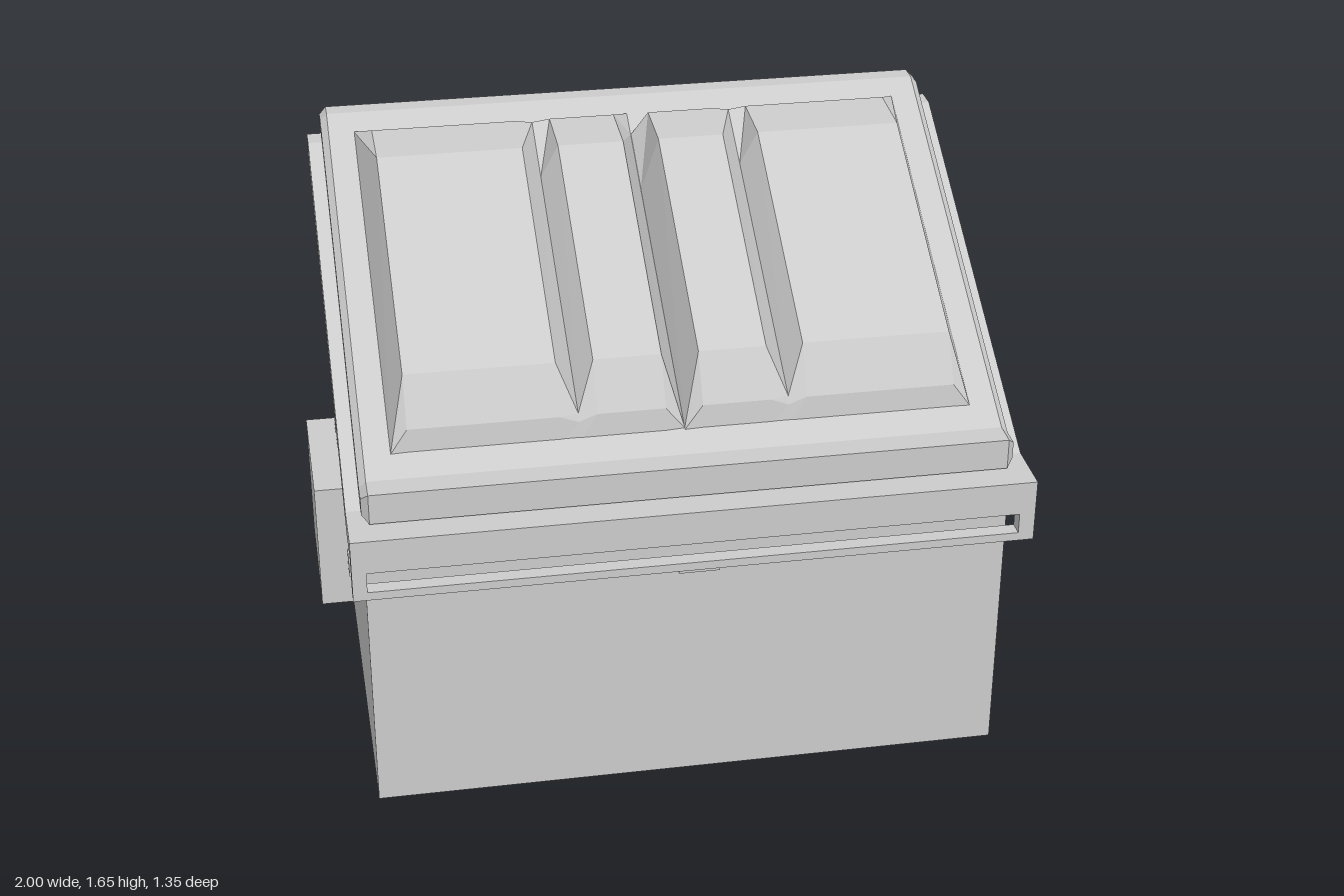
import * as THREE from 'three';

const MID = 0.02; // centre of the container across x
const material = new THREE.MeshStandardMaterial({ color: 0xcccccc, flatShading: true });

function add(parent, name, geometry) {
  const mesh = new THREE.Mesh(geometry, material);
  mesh.name = name;
  parent.add(mesh);
  return mesh;
}

// Extrudes a side profile of [z, y] points across x, with optional chamfer
function across(points, x0, x1, bevel = 0) {
  const shape = new THREE.Shape(points.map(([z, y]) => new THREE.Vector2(z, y)));
  const depth = x1 - x0 - 2 * bevel;
  const geometry = new THREE.ExtrudeGeometry(shape, {
    depth, bevelEnabled: bevel > 0, bevelSize: bevel, bevelThickness: bevel, bevelSegments: 1,
  });
  geometry.translate(0, 0, -depth / 2);
  geometry.rotateY(-Math.PI / 2);
  return geometry.translate((x0 + x1) / 2, 0, 0);
}

// Skins rows of [x, y, z] points with flat faces
function skin(rows) {
  const positions = [];
  const tri = new THREE.Triangle();
  const face = (...corners) => {
    [tri.a, tri.b, tri.c].forEach((v, i) => v.fromArray(corners[i]));
    if (tri.getArea() > 1e-8) positions.push(...corners.flat());
  };
  for (let i = 0; i < rows.length - 1; i++) {
    for (let j = 0; j < rows[i].length - 1; j++) {
      const a = rows[i][j], b = rows[i + 1][j], c = rows[i + 1][j + 1], d = rows[i][j + 1];
      face(a, b, c);
      face(a, c, d);
    }
  }
  const geometry = new THREE.BufferGeometry();
  geometry.setAttribute('position', new THREE.Float32BufferAttribute(positions, 3));
  geometry.computeVertexNormals();
  return geometry;
}

// Chamfered plate on the +x wall; steps are [x, inset]
function sidePlate(z0, z1, y0, y1, steps) {
  const rows = steps.map(([x, s]) => [
    [x, y0 + s, z1 - s], [x, y1 - s, z1 - s], [x, y1 - s, z0 + s], [x, y0 + s, z0 + s], [x, y0 + s, z1 - s],
  ]);
  const x = steps[steps.length - 1][0];
  rows.push(Array.from({ length: 5 }, () => [x, (y0 + y1) / 2, (z0 + z1) / 2]));
  return skin(rows);
}

function box(x0, x1, y0, y1, z0, z1) {
  return new THREE.BoxGeometry(x1 - x0, y1 - y0, z1 - z0)
    .translate((x0 + x1) / 2, (y0 + y1) / 2, (z0 + z1) / 2);
}

export function createModel() {
  const model = new THREE.Group();
  model.name = 'wasteContainer';

  // Container with sloped top
  add(model, 'body', across(
    [[0.56, 0], [0.56, 0.88], [0.51, 0.88], [-0.635, 1.5], [-0.635, 0]], -0.89, 0.93));

  // Overhanging rim
  add(model, 'rim', across(
    [[0.675, 0.94], [0.51, 0.94], [-0.6, 1.56], [-0.67, 1.56], [-0.67, 1.49], [0.51, 0.865], [0.675, 0.865]],
    -0.93, 0.975));

  // Slotted front lip
  const lip = new THREE.Shape();
  lip.moveTo(-0.93, 0.755).lineTo(0.975, 0.755).lineTo(0.975, 0.866).lineTo(-0.93, 0.866).closePath();
  const slot = new THREE.Path();
  slot.moveTo(-0.89, 0.78).lineTo(-0.89, 0.84).lineTo(0.93, 0.84).lineTo(0.93, 0.78).closePath();
  lip.holes.push(slot);
  add(model, 'frontLip', new THREE.ExtrudeGeometry(lip, { depth: 0.045, bevelEnabled: false })
    .translate(0, 0, 0.63));
  add(model, 'lipTab', box(-0.035, 0.08, 0.745, 0.756, 0.63, 0.67));

  // Chamfered lid slab
  add(model, 'lid', across(
    [[0.575, 0.965], [0.575, 1.015], [0.515, 1.015], [-0.597, 1.632], [-0.642, 1.632],
      [-0.655, 1.62], [-0.655, 1.588], [-0.61, 1.588], [0.505, 0.965]],
    -0.89, 0.93, 0.02));

  // Raised lid panel with three V grooves; profiles are [z, y] from front to back
  const full = [[0.45, 1.06], [0.44, 1.14], [0.365, 1.27], [-0.28, 1.635], [-0.46, 1.645], [-0.53, 1.6]];
  const shallow = [[0.45, 1.06], [0.44, 1.12], [0.43, 1.142], [-0.28, 1.54], [-0.46, 1.638], [-0.53, 1.6]];
  const onLid = (z) => [z, 1.035 + (0.52 - z) * 0.554];
  const deep = [0.45, 0.445, 0.44, -0.28, -0.46, -0.53].map(onLid);
  const edge = [0.45, 0.449, 0.448, -0.528, -0.529, -0.53].map(onLid);
  const stations = [[-0.815, edge], [-0.767, full]];
  for (const [x, groove] of [[-0.295, shallow], [0, deep], [0.295, shallow]]) {
    stations.push([x - 0.052, full], [x, groove], [x + 0.052, full]);
  }
  stations.push([0.767, full], [0.815, edge]);
  add(model, 'lidPanel', skin(stations.map(([x, profile]) => profile.map(([z, y]) => [x + MID, y, z]))));

  // Plates on the left wall
  add(model, 'largeSidePlate', sidePlate(-0.455, 0.38, 0.19, 0.71, [[0.93, 0], [0.975, 0.02], [1, 0.07]]));
  const thin = [[0.93, 0], [0.952, 0.008], [0.96, 0.02]];
  add(model, 'upperSidePlate', sidePlate(-0.545, -0.235, 0.98, 1.175, thin));
  add(model, 'middleSidePlate', sidePlate(-0.405, -0.095, 0.745, 0.94, thin));

  // Control box with conduits on the right wall
  add(model, 'controlBox', box(-1, -0.885, 0.32, 0.715, -0.435, 0));
  for (const z of [-0.36, -0.27]) {
    add(model, 'conduit', box(-0.915, -0.885, 0.7, 0.81, z - 0.025, z + 0.025));
  }
  add(model, 'boxFitting', box(-0.915, -0.885, 0.44, 0.505, -0.01, 0.05));

  return model;
}
